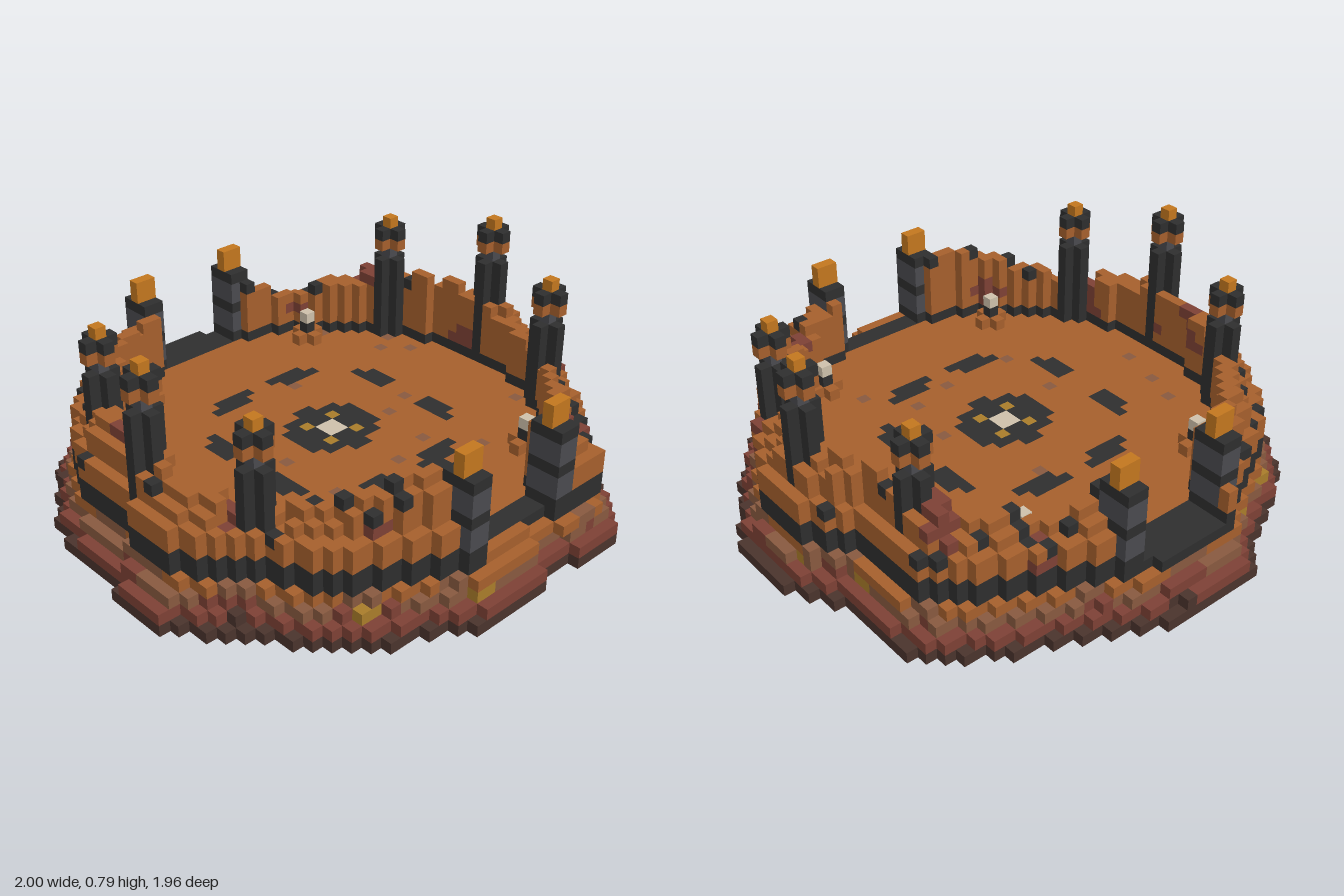
import * as THREE from 'three';

const U = 1 / 24;          // block size
const ZC = 0.0208;         // z of the arena centre

const material = (name, color) => {
  const m = new THREE.MeshStandardMaterial({ color });
  m.name = name;
  return m;
};
const M = {
  orange: material('orange clay', 0xa55f2c),
  charcoal: material('charcoal', 0x2e2e2e),
  grey: material('grey stone', 0x4a4a4e),
  maroon: material('maroon clay', 0x7d4035),
  brown: material('brown clay', 0x87593f),
  dark: material('dark brown earth', 0x4a332c),
  gold: material('gold', 0xa87c2a),
  bright: material('bright orange', 0xc2761e),
  pale: material('pale stone', 0xcdc0aa),
};

// Outline of the ground, as x, z around the centre
const outline = [
  [-0.21, -1], [0.08, -1], [0.21, -0.96], [0.37, -0.88], [0.5, -0.82], [0.58, -0.79], [0.71, -0.71],
  [0.83, -0.63], [0.877, -0.5], [0.877, -0.26], [0.957, -0.13], [0.995, -0.04], [0.995, 0.17],
  [0.914, 0.315], [0.834, 0.454], [0.706, 0.62], [0.62, 0.73], [0.5, 0.86], [0.42, 0.958],
  [0.2, 0.958], [0.2, 0.92], [0.04, 0.92], [0.04, 0.958], [-0.25, 0.958], [-0.4, 0.866],
  [-0.583, 0.786], [-0.717, 0.658], [-0.79, 0.51], [-0.914, 0.396], [-0.96, 0.29], [-1, 0.29],
  [-1, 0.08], [-0.957, 0], [-0.957, -0.21], [-0.914, -0.37], [-0.834, -0.5], [-0.75, -0.63],
  [-0.583, -0.786], [-0.374, -0.87], [-0.25, -0.957],
];
function inside(x, z) {
  let hit = false;
  for (let i = 0, j = outline.length - 1; i < outline.length; j = i++) {
    const [xi, zi] = outline[i], [xj, zj] = outline[j];
    if ((zi > z) !== (zj > z) && x < ((xj - xi) * (z - zi)) / (zj - zi) + xi) hit = !hit;
  }
  return hit;
}

// Repeatable random value per block, and a smooth one for patches
const hash = (a, y, b) => {
  const s = Math.sin(a * 12.99 + y * 78.23 + b * 37.72) * 43758.55;
  return s - Math.floor(s);
};
const patch = (a, y, b) => Math.sin(a * 0.9 + y * 0.7) + Math.sin(b * 0.8 - y * 0.9 + 2) + Math.sin((a + b) * 0.5);

// Wall height in blocks, every 15 degrees from +x towards +z
const heights = [11, 10, 9, 10, 9, 11, 11, 12, 12, 10, 9, 10, 11, 11, 10, 10, 11, 11, 11, 11, 9, 10, 11, 12];
function wallHeight(x, z) {
  const t = ((Math.atan2(z, x) / (Math.PI * 2) + 1) % 1) * 24, i = Math.floor(t);
  return Math.round(THREE.MathUtils.lerp(heights[i % 24], heights[(i + 1) % 24], t - i));
}

// Turns blocks into meshes, one per part and colour, leaving out hidden faces
const sides = [
  [[1, 0, 0], [0, 1, 0], [0, 0, 1]], [[-1, 0, 0], [0, 0, 1], [0, 1, 0]],
  [[0, 1, 0], [0, 0, 1], [1, 0, 0]], [[0, -1, 0], [1, 0, 0], [0, 0, 1]],
  [[0, 0, 1], [1, 0, 0], [0, 1, 0]], [[0, 0, -1], [0, 1, 0], [1, 0, 0]],
];
function buildMeshes(blocks, group) {
  const parts = new Map();
  for (const { p, part, color } of blocks.values()) {
    const id = part + '|' + color;
    if (!parts.has(id)) parts.set(id, { part, color, pos: [] });
    const { pos } = parts.get(id);
    for (const [n, u, v] of sides) {
      if (blocks.has(p.map((c, k) => c + n[k]).join())) continue;
      for (const [s, t] of [[0, 0], [1, 0], [1, 1], [0, 0], [1, 1], [0, 1]]) {
        const c = p.map((q, k) => (q + Math.max(n[k], 0) + u[k] * s + v[k] * t) * U);
        pos.push(c[0], c[1], c[2] + ZC);
      }
    }
  }
  for (const { part, color, pos } of parts.values()) {
    if (!pos.length) continue;
    const g = new THREE.BufferGeometry();
    g.setAttribute('position', new THREE.Float32BufferAttribute(pos, 3));
    g.computeVertexNormals();
    const mesh = new THREE.Mesh(g, M[color]);
    mesh.name = part + ' ' + color;
    group.add(mesh);
  }
}

export function createModel() {
  const group = new THREE.Group();
  group.name = 'arena';
  const blocks = new Map();
  const put = (part, color, a, y, b) => blocks.set([a, y, b].join(), { p: [a, y, b], part, color });
  // Four-way mirroring around the arena centre
  const mirror = (f) => { for (const sx of [0, 1]) for (const sz of [0, 1]) f((a) => (sx ? -1 - a : a), (b) => (sz ? -1 - b : b)); };
  const plus = (part, color, a, y, b) => {
    for (const [da, db] of [[0, 0], [1, 0], [-1, 0], [0, 1], [0, -1]]) put(part, color, a + da, y, b + db);
  };

  // Terraced ground, floor and ring wall
  const scale = [1, 0.983, 0.95, 0.936, 0.915];
  for (let a = -24; a < 24; a++) for (let b = -24; b < 24; b++) {
    const x = (a + 0.5) * U, z = (b + 0.5) * U, n = (y) => patch(a, y, b);
    const within = (s) => inside(x / s, z / s);
    if (within(scale[0])) put('base', 'dark', a, 0, b);
    if (within(scale[1])) put('lower terrace', n(1) > 1.9 ? 'dark' : 'maroon', a, 1, b);
    if (within(scale[2])) {
      const ore = hash(a >> 1, 2, b >> 1) > 0.94;
      put('middle terrace', ore ? 'gold' : n(2) > 0.9 ? 'maroon' : 'brown', a, 2, b);
    }
    if (within(scale[3])) put('upper terrace', n(3) > 1 ? 'brown' : 'orange', a, 3, b);
    if (!within(scale[4])) continue;
    const gate = Math.abs(x) < 4 * U;
    if (gate || Math.hypot(x, z) < 0.76) {
      const sill = gate && (b === 18 || b === 19 || (b <= -19 && b >= -22));
      const speck = hash(a, 4, b) > 0.982 && Math.hypot(x, z) > 0.2;
      put(sill ? 'gate sill' : 'floor', sill ? 'charcoal' : speck ? 'brown' : 'orange', a, 4, b);
      continue;
    }
    const top = within(0.875) ? wallHeight(x, z) - (within(0.835) ? 0 : 1) : 8;
    for (let y = 4; y < top; y++) {
      const crest = y === top - 1 && hash(a, 9, b) > 0.87;
      put('wall', y < 6 || crest ? 'charcoal' : n(y) > 1.75 ? 'maroon' : 'orange', a, y, b);
    }
  }

  // Central floor emblem
  for (let a = -4; a < 4; a++) for (let b = -4; b < 4; b++) {
    const p = Math.abs(a + 0.5), q = Math.abs(b + 0.5);
    if (Math.max(p, q) > 3 && Math.min(p, q) > (p > q ? 2 : 1)) continue;
    const color = p < 1 && q < 1 ? 'pale' : p === 1.5 && q === 1.5 ? 'gold' : 'charcoal';
    put('floor emblem', color, a, 4, b);
  }

  mirror((mx, mz) => {
    // Broken ring on the floor
    for (let i = 1; i < 6; i++) {
      if (i < 5) put('floor ring', 'charcoal', mx(i), 4, mz(9));
      if (i > 1) put('floor ring', 'charcoal', mx(i), 4, mz(8));
      if (i > 1) put('floor ring', 'charcoal', mx(8), 4, mz(i));
      if (i < 4) put('floor ring', 'charcoal', mx(9), 4, mz(i + 1));
    }

    // Lamps on the floor
    plus('lamp foot', 'orange', mx(9), 5, mz(13));
    put('lamp post', 'charcoal', mx(9), 6, mz(13));
    put('lamp light', 'pale', mx(9), 7, mz(13));

    // Gate pillars
    for (const a of [4, 5]) {
      for (const b of [18, 19, 20]) for (let y = 4; y < 12; y++) {
        put('gate pillar', y < 6 || y === 8 || y === 11 ? 'charcoal' : 'grey', mx(a), y, mz(b));
      }
      for (const y of [12, 13]) put('gate pillar cap', 'bright', mx(a), y, mz(19));
    }

    // Watch towers
    for (const [a, b, h] of [[19, 0, 15], [16, 9, 13]]) {
      const ta = mx(a), tb = b ? mz(b) : 0;
      for (let y = 4; y < h; y++) plus('tower column', 'charcoal', ta, y, tb);
      put('tower neck', 'grey', ta, h, tb);
      plus('tower crown', 'orange', ta, h + 1, tb);
      plus('tower roof', 'charcoal', ta, h + 2, tb);
      put('tower tip', 'bright', ta, h + 3, tb);
    }
  });

  buildMeshes(blocks, group);
  return group;
}
